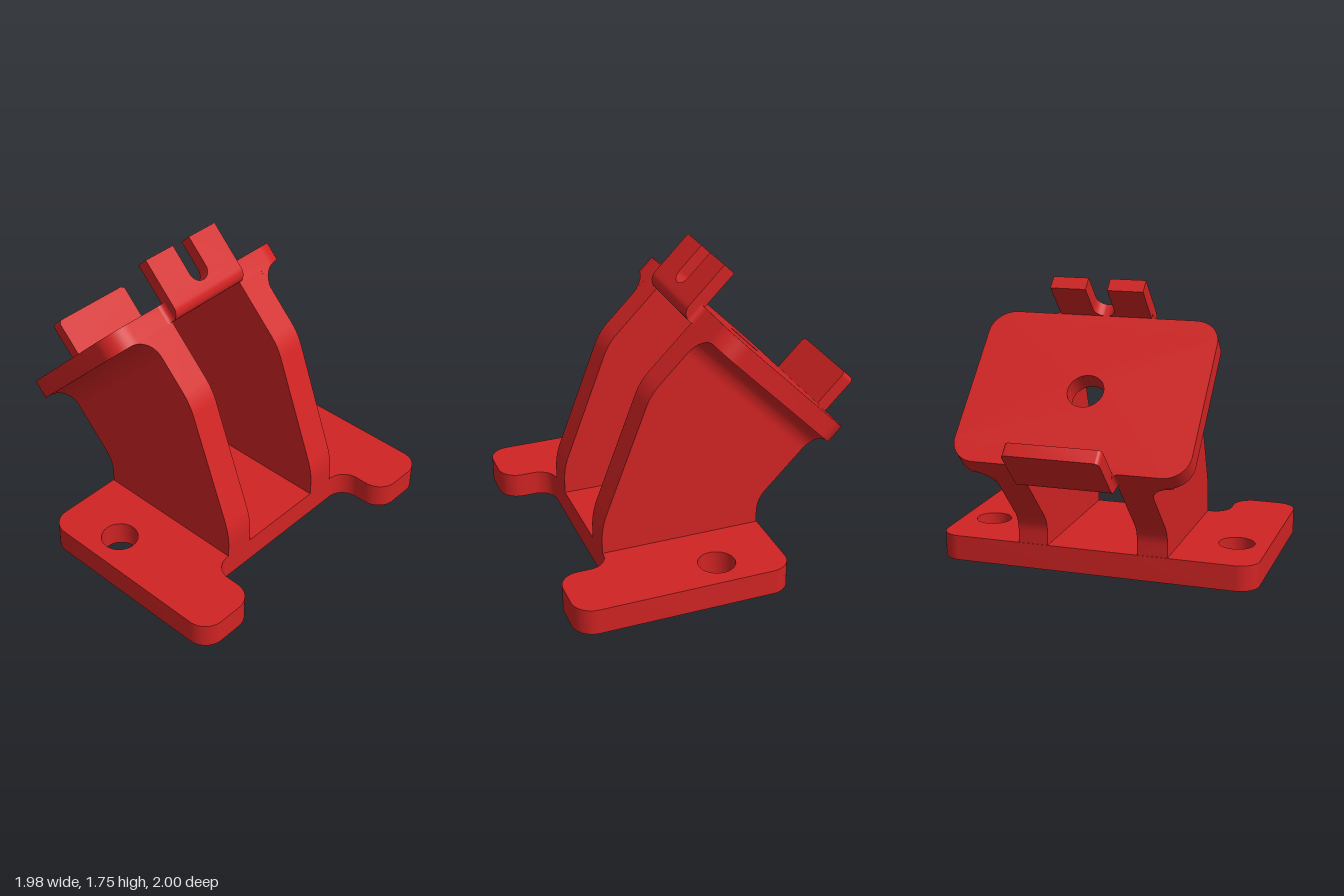
import * as THREE from 'three';
import { toCreasedNormals } from 'three/addons/utils/BufferGeometryUtils.js';

const material = new THREE.MeshStandardMaterial({ color: 0xd02323 });

// Closed outline from corners [x, y, radius]; corners with a radius are rounded
function outline(corners) {
  const shape = new THREE.Shape();
  const n = corners.length;
  corners.forEach(([x, y, r = 0], i) => {
    const p = new THREE.Vector2(x, y);
    const a = new THREE.Vector2(...corners[(i + n - 1) % n]).sub(p).normalize();
    const b = new THREE.Vector2(...corners[(i + 1) % n]).sub(p).normalize();
    const turn = Math.PI - Math.acos(THREE.MathUtils.clamp(a.dot(b), -1, 1));
    const d = r * Math.tan(turn / 2);
    const k = d - (4 / 3) * Math.tan(turn / 4) * r;
    const at = (dir, t) => p.clone().addScaledVector(dir, t);
    const start = at(a, d), end = at(b, d), c1 = at(a, k), c2 = at(b, k);
    if (i === 0) shape.moveTo(start.x, start.y);
    else shape.lineTo(start.x, start.y);
    if (r) shape.bezierCurveTo(c1.x, c1.y, c2.x, c2.y, end.x, end.y);
  });
  shape.closePath();
  return shape;
}

function circleHole(shape, x, y, r) {
  shape.holes.push(new THREE.Path().absarc(x, y, r, 0, Math.PI * 2, true));
}

// Concave corner fill: two straight legs and an inward arc
function filletShape(r) {
  const s = new THREE.Shape();
  s.moveTo(0, 0);
  s.lineTo(r, 0);
  s.absarc(r, r, r, -Math.PI / 2, -Math.PI, true);
  s.closePath();
  return s;
}

function extrude(shape, depth) {
  return new THREE.ExtrudeGeometry(shape, { depth, bevelEnabled: false, curveSegments: 14 });
}

function part(name, geometry, parent) {
  const mesh = new THREE.Mesh(toCreasedNormals(geometry, 0.5), material);
  mesh.name = name;
  parent.add(mesh);
  return mesh;
}

export function createModel() {
  const model = new THREE.Group();
  model.name = 'mountingBracket';

  // Base plate with a front notch and two bolt holes
  const baseShape = outline([
    [-0.99, -0.29, 0.125], [0.99, -0.29, 0.125], [0.99, 1, 0.125], [0.595, 1, 0.125],
    [0.595, 0.685, 0.115], [-0.595, 0.685, 0.115], [-0.595, 1, 0.125], [-0.99, 1, 0.125],
  ]);
  for (const side of [-1, 1]) circleHole(baseShape, side * 0.79, 0.105, 0.11);
  part('base', extrude(baseShape, 0.155).rotateX(Math.PI / 2).translate(0, 0.155, 0), model);

  // Two upright ribs, profile in (z, y)
  const ribShape = outline([
    [-0.287, 0.14], [0.685, 0.14], [0.685, 0.325, 0.48], [0.376, 1.122, 0.37],
    [0.059, 1.438], [-0.68, 0.699], [-0.287, 0.305, 0.19],
  ]);
  for (const [name, x] of [['leftRib', 0.465], ['rightRib', -0.28]]) {
    part(name, extrude(ribShape, 0.185).rotateY(-Math.PI / 2).translate(x, 0, 0), model);
  }

  // Tilted head: local y runs up the slope, local z points out of the back
  const head = new THREE.Group();
  head.name = 'head';
  const s = Math.SQRT1_2;
  head.quaternion.setFromRotationMatrix(new THREE.Matrix4().makeBasis(
    new THREE.Vector3(-1, 0, 0), new THREE.Vector3(0, s, s), new THREE.Vector3(0, s, -s)));
  head.position.set(0, 1.064, -0.306);
  model.add(head);

  const halfW = 0.7, halfH = 0.523, thick = 0.117, tabW = 0.28, tabTop = 0.607;

  // Face plate with centre hole
  const plateShape = outline([
    [-halfW, -halfH, 0.15], [halfW, -halfH, 0.15], [halfW, halfH, 0.15], [-halfW, halfH, 0.15],
  ]);
  circleHole(plateShape, 0, -0.005, 0.108);
  part('facePlate', extrude(plateShape, thick), head);

  // Hooked tabs at both ends of the plate; only the upper one is slotted
  const heelShape = outline([
    [0, halfH], [thick, halfH], [thick, tabTop], [0, tabTop, 0.07],
  ]);
  const slot = [[0.065, 0.369], [0.065, thick, 0.064], [-0.065, thick, 0.064], [-0.065, 0.369]];
  for (const upper of [true, false]) {
    const tab = new THREE.Group();
    tab.name = upper ? 'upperTab' : 'lowerTab';
    tab.rotation.z = upper ? 0 : Math.PI;
    head.add(tab);

    part('tabHeel', extrude(heelShape, 2 * tabW).rotateY(-Math.PI / 2).translate(tabW, 0, 0), tab);
    const r = upper ? 0 : 0.03;
    const armShape = outline([
      [-tabW, 0.11], [tabW, 0.11], [tabW, 0.369, r], ...(upper ? slot : []), [-tabW, 0.369, r],
    ]);
    part('tabArm', extrude(armShape, tabTop - halfH).rotateX(Math.PI / 2).translate(0, tabTop, 0), tab);

    // Small fillets where the tab meets the plate edge
    for (const side of [1, -1]) {
      const geo = extrude(filletShape(0.035), thick);
      if (side < 0) geo.rotateZ(Math.PI / 2);
      part('tabFillet', geo.translate(side * tabW, halfH, 0), tab);
    }

    // Large fillet between the plate and one rib's outer face
    part('ribFillet', extrude(filletShape(0.14), 2 * halfH)
      .rotateX(-Math.PI / 2).translate(0.465, -halfH, 0), tab);
  }
  return model;
}
